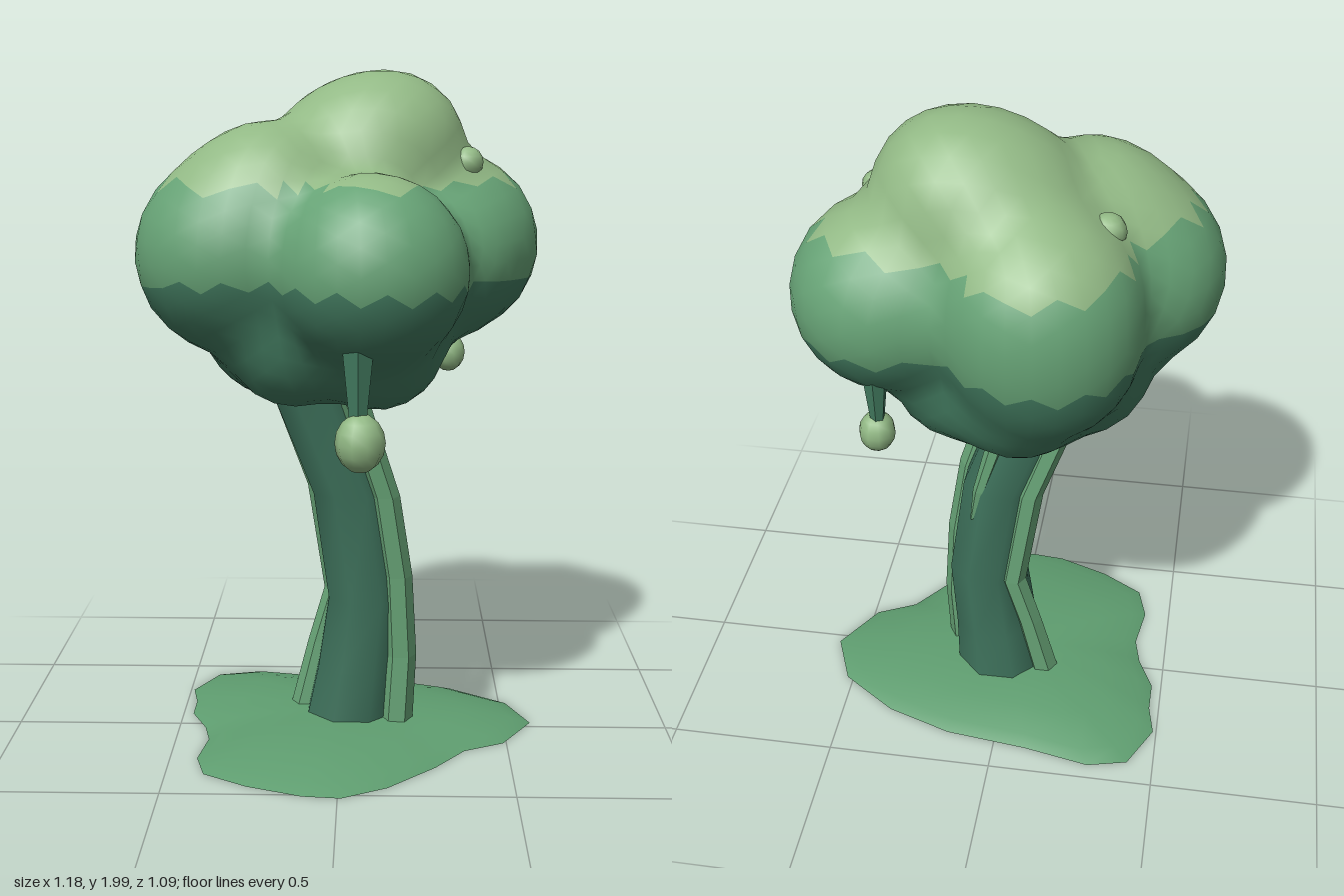
import * as THREE from 'three';
import { mergeVertices } from 'three/addons/utils/BufferGeometryUtils.js';

const LIGHT = 0x92b985, MID = 0x67a376, DARK = 0x427a5f, BARK = 0x3d705a;

function addMesh(parent, name, geometry, color, options = {}) {
  const mesh = new THREE.Mesh(geometry, new THREE.MeshStandardMaterial({ color, ...options }));
  mesh.name = name;
  parent.add(mesh);
  return mesh;
}

// Stack of level rings [x, y, z, radius], open at both ends
function sweep(rings, sides) {
  const pos = [], idx = [];
  rings.forEach(([x, y, z, r]) => {
    for (let i = 0; i < sides; i++) {
      const a = ((i + 0.5) / sides) * Math.PI * 2;
      pos.push(x + r * Math.sin(a), y, z + r * Math.cos(a));
    }
  });
  for (let j = 0; j < rings.length - 1; j++) {
    for (let i = 0; i < sides; i++) {
      const a = j * sides + i, b = j * sides + (i + 1) % sides;
      idx.push(a, b, b + sides, a, b + sides, a + sides);
    }
  }
  const g = new THREE.BufferGeometry();
  g.setAttribute('position', new THREE.Float32BufferAttribute(pos, 3));
  g.setIndex(idx);
  g.computeVertexNormals();
  return g;
}

// Crown lobes: x, y, z, radius
const LOBES = [
  // top
  [0.13, 1.755, -0.11, 0.235],
  [0.03, 1.7, -0.09, 0.255],
  // main ring
  [-0.3, 1.47, 0.07, 0.293],
  [-0.21, 1.6, 0.07, 0.245],
  [0.09, 1.44, 0.28, 0.27],
  [0.31, 1.48, -0.17, 0.277],
  [0.27, 1.43, 0.0, 0.225],
  [-0.11, 1.53, -0.265, 0.28],
  [-0.12, 1.4, -0.26, 0.26],
  // underside
  [-0.2, 1.24, -0.08, 0.21],
  [-0.13, 1.24, 0.1, 0.21],
  [0.1, 1.23, 0.12, 0.205],
  [0.12, 1.23, -0.14, 0.205],
  [-0.05, 1.22, -0.2, 0.205],
];

function crownDistance(p) {
  const k = 0.07;
  let d = 10;
  for (const [x, y, z, r] of LOBES) {
    const e = Math.hypot(p.x - x, p.y - y, p.z - z) - r;
    const h = Math.max(k - Math.abs(d - e), 0) / k;
    d = Math.min(d, e) - h * h * k * 0.25;
  }
  return d;
}

// Ball shrunk on to the blended lobes
function crownGeometry() {
  let g = new THREE.IcosahedronGeometry(1, 8);
  g.deleteAttribute('normal');
  g.deleteAttribute('uv');
  g = mergeVertices(g, 1e-4);
  const pos = g.attributes.position;
  const centre = new THREE.Vector3(0, 1.45, 0);
  const dir = new THREE.Vector3(), p = new THREE.Vector3();
  for (let i = 0; i < pos.count; i++) {
    dir.fromBufferAttribute(pos, i).normalize();
    let t = 1;
    for (let n = 0; n < 60; n++) {
      p.copy(centre).addScaledVector(dir, t);
      t -= crownDistance(p) * 0.9;
    }
    p.copy(centre).addScaledVector(dir, t);
    pos.setXYZ(i, p.x, p.y, p.z);
  }
  g.computeVertexNormals();
  return g;
}

// Keeps the faces whose middle lies between two heights
function band(source, low, high) {
  const pos = source.attributes.position, all = source.index.array, idx = [];
  for (let i = 0; i < all.length; i += 3) {
    const y = (pos.getY(all[i]) + pos.getY(all[i + 1]) + pos.getY(all[i + 2])) / 3;
    if (y >= low && y < high) idx.push(all[i], all[i + 1], all[i + 2]);
  }
  const g = new THREE.BufferGeometry();
  g.setAttribute('position', pos);
  g.setAttribute('normal', source.attributes.normal);
  g.setIndex(idx);
  return g;
}

// Thin domed sheet with a wavy outline
function groundGeometry() {
  const outline = [[0.585, -0.03], [0.49, 0.13], [0.37, 0.19], [0.28, 0.31], [0.14, 0.45], [0.01, 0.52],
    [-0.1, 0.51], [-0.26, 0.45], [-0.39, 0.37], [-0.42, 0.26], [-0.4, 0.12], [-0.42, 0.03],
    [-0.47, -0.08], [-0.47, -0.18], [-0.49, -0.28], [-0.42, -0.42], [-0.3, -0.45],
    [-0.1, -0.41], [0.15, -0.38], [0.35, -0.31], [0.52, -0.19]];
  const rings = [[0.35, 0.052], [0.65, 0.042], [0.9, 0.018], [1, 0]];
  const n = outline.length, pos = [0, 0.052, 0], idx = [];
  rings.forEach(([s, y]) => outline.forEach(([x, z]) => pos.push(x * s, y, z * s)));
  for (let i = 0; i < n; i++) {
    const j = (i + 1) % n;
    idx.push(0, 1 + j, 1 + i);
    for (let r = 0; r < rings.length - 1; r++) {
      const a = 1 + r * n + i, b = 1 + r * n + j;
      idx.push(a, b, b + n, a, b + n, a + n);
    }
  }
  const g = new THREE.BufferGeometry();
  g.setAttribute('position', new THREE.Float32BufferAttribute(pos, 3));
  g.setIndex(idx);
  g.computeVertexNormals();
  return g;
}

export function createModel() {
  const tree = new THREE.Group();
  tree.name = 'tree';

  addMesh(tree, 'ground', groundGeometry(), 0x5f9e70, { side: THREE.DoubleSide });

  // Bent trunk
  addMesh(tree, 'trunk', sweep([
    [0.03, 0.04, -0.03, 0.145], [0.05, 0.2, -0.025, 0.13], [0.075, 0.42, -0.02, 0.122],
    [0.03, 0.75, -0.01, 0.122], [-0.075, 1.03, 0.01, 0.125], [-0.12, 1.2, 0.01, 0.13],
  ], 8), BARK, { side: THREE.DoubleSide });

  // Vines climbing the trunk
  const vines = {
    leftVine: [[0.168, 0.04, 0.045, 0.05], [0.18, 0.25, 0.04, 0.048], [0.168, 0.5, 0.045, 0.046],
      [0.13, 0.75, 0.06, 0.045], [0.035, 1.05, 0.09, 0.045], [0, 1.15, 0.09, 0.04]],
    rightVine: [[-0.115, 0.04, -0.075, 0.045], [-0.065, 0.25, -0.085, 0.04], [-0.015, 0.42, -0.09, 0.04],
      [-0.065, 0.75, -0.08, 0.04], [-0.165, 1.03, -0.055, 0.042], [-0.2, 1.15, -0.05, 0.04]],
    backVine: [[0.11, 0.65, -0.105, 0.006], [0.085, 0.76, -0.1, 0.022],
      [0.01, 1.02, -0.085, 0.034], [-0.02, 1.15, -0.085, 0.034]],
  };
  for (const name in vines) {
    addMesh(tree, name, sweep(vines[name], 6), MID, { flatShading: true, side: THREE.DoubleSide });
  }

  // Crown in three shades
  const crown = new THREE.Group();
  crown.name = 'crown';
  tree.add(crown);
  const leaves = crownGeometry();
  addMesh(crown, 'lowerLeaves', band(leaves, 0, 1.4), DARK);
  addMesh(crown, 'middleLeaves', band(leaves, 1.4, 1.67), MID);
  addMesh(crown, 'upperLeaves', band(leaves, 1.67, 3), LIGHT);

  // Fruits hanging on stems
  [[0.06, 0.99, 0.425, 1], [0.33, 1.12, -0.335, 0.74]].forEach(([x, y, z, s]) => {
    const fruit = new THREE.Group();
    fruit.name = 'hangingFruit';
    fruit.position.set(x, y, z);
    fruit.scale.setScalar(s);
    addMesh(fruit, 'fruit', new THREE.SphereGeometry(0.07, 10, 8), LIGHT).scale.y = 1.18;
    addMesh(fruit, 'stem', new THREE.CylinderGeometry(0.05, 0.026, 0.22, 6).translate(-0.006, 0.16, -0.01),
      DARK, { flatShading: true });
    tree.add(fruit);
  });

  // Berries on the crown
  [[-0.28, 1.72, -0.19, 0.05], [0.365, 1.725, -0.035, 0.046]].forEach(([x, y, z, r]) => {
    addMesh(tree, 'berry', new THREE.SphereGeometry(r, 10, 8), LIGHT).position.set(x, y, z);
  });

  return tree;
}
